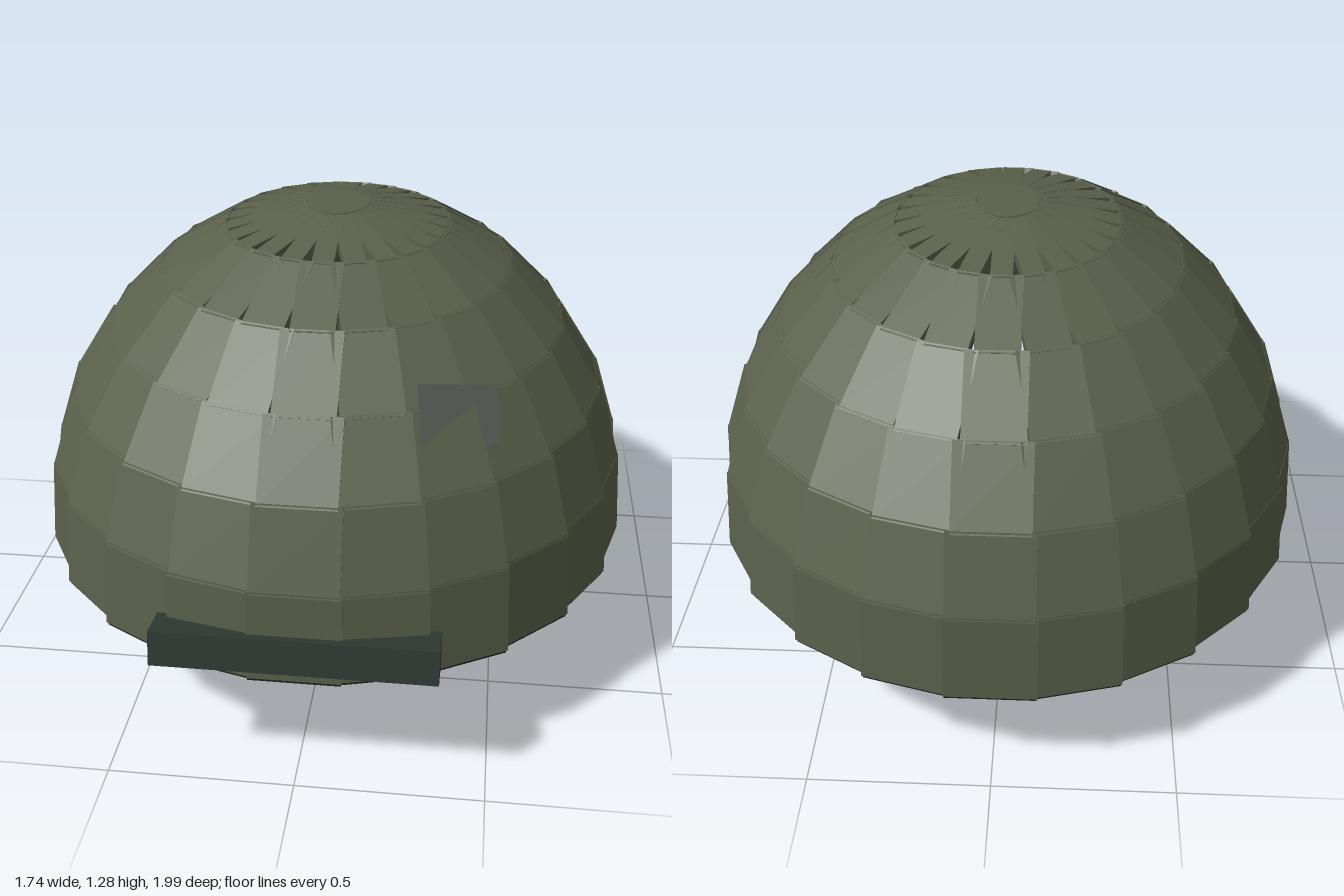
import * as THREE from 'three';

const SEGMENTS = 24;
const HALF_WIDTH = 0.862, HALF_DEPTH = 0.983, CENTRE_Z = -0.01;
const V = (x, y, z) => new THREE.Vector3(x, y, z);
const material = (color) => new THREE.MeshStandardMaterial({ color, flatShading: true });

const shellMat = material(0x59604a);
const rimMat = material(0x1e2420);
const browMat = material(0x2f3a32);
const strapMat = material(0x23292c);
const buckleMat = material(0x6b7573);
const chipMat = material(0x595c55);

function box(name, size, position, mat) {
  const mesh = new THREE.Mesh(new THREE.BoxGeometry(...size), mat);
  mesh.name = name;
  mesh.position.copy(position);
  return mesh;
}

// Turns a mesh so its own axes follow the given directions
function orient(mesh, xAxis, yAxis) {
  const x = xAxis.clone().normalize();
  const z = x.clone().cross(yAxis).normalize();
  const y = z.clone().cross(x);
  mesh.quaternion.setFromRotationMatrix(new THREE.Matrix4().makeBasis(x, y, z));
  return mesh;
}

// A ring of flat plates round the oval; r0, r1 are fractions of the oval's size
function plateRing(name, [r0, y0], [r1, y1], thickness, overlap, mat) {
  const ring = new THREE.Group();
  ring.name = name;
  const r = (r0 + r1) / 2;
  for (let i = 0; i < SEGMENTS; i++) {
    const t = (i / SEGMENTS) * Math.PI * 2;
    const s = Math.sin(t), c = Math.cos(t);
    const reach = Math.hypot(HALF_WIDTH * s, HALF_DEPTH * c);
    const along = V(c, 0, -s);
    const slope = V(s, 0, c).multiplyScalar((r1 - r0) * reach).setY(y1 - y0);
    const normal = along.clone().cross(slope).normalize();
    const width = 2 * Math.tan(Math.PI / SEGMENTS) * r * Math.hypot(HALF_WIDTH * c, HALF_DEPTH * s) * overlap;
    const centre = V(HALF_WIDTH * r * s, (y0 + y1) / 2, HALF_DEPTH * r * c + CENTRE_Z)
      .addScaledVector(normal, -thickness / 2);
    ring.add(orient(box('plate', [width, slope.length() * 1.04, thickness], centre, mat), along, slope));
  }
  return ring;
}

// Square bar between two points
function bar(name, from, to, width, mat) {
  const dir = to.clone().sub(from);
  const mesh = box(name, [width, dir.length(), width * 0.85], from.clone().add(to).multiplyScalar(0.5), mat);
  return orient(mesh, V(0, 1, 0).cross(dir), dir);
}

export function createModel() {
  const model = new THREE.Group();
  model.name = 'helmet';

  // Domed shell of plate rows: [radius fraction, height]
  const profile = [
    [1.0, 0.335], [0.98, 0.575], [0.9, 0.785], [0.765, 0.968],
    [0.585, 1.125], [0.375, 1.235], [0.11, 1.287],
  ];
  const shell = new THREE.Group();
  shell.name = 'shell';
  for (let i = 0; i < profile.length - 1; i++) {
    shell.add(plateRing('shellRow', profile[i], profile[i + 1], 0.03, 1.09, shellMat));
  }
  model.add(shell);

  // Oval crown cap
  const crown = new THREE.Mesh(new THREE.CylinderGeometry(1, 1, 0.03, SEGMENTS), shellMat);
  crown.name = 'crownCap';
  crown.scale.set(0.09, 1, 0.115);
  crown.position.set(0, 1.274, CENTRE_Z);
  model.add(crown);

  // Dark rim round the opening
  model.add(plateRing('rim', [0.995, 0.322], [0.995, 0.385], 0.07, 1.07, rimMat));

  // Brow block
  const brow = box('browBlock', [0.74, 0.095, 0.11], V(0, 0.407, 0.938), browMat);
  brow.rotation.x = -0.15;
  model.add(brow);

  // Half-sunk chip on the front left of the shell
  const a = V(0.28, 1.02, 0.63), b = V(0.48, 0.98, 0.53), c = V(0.48, 0.85, 0.62);
  const chip = box('shellChip', [a.distanceTo(b), b.distanceTo(c), 0.02],
    a.clone().add(c).multiplyScalar(0.5), chipMat);
  model.add(orient(chip, b.clone().sub(a), b.clone().sub(c)));

  // Chin straps and buckles, mirrored
  for (const side of [1, -1]) {
    const low = V(side * 0.29, 0.035, 0.285);
    model.add(bar('frontStrap', low, V(side * 0.64, 0.4, 0.09), 0.06, strapMat));
    model.add(bar('backStrap', low, V(side * 0.64, 0.4, -0.46), 0.06, strapMat));
    model.add(box('buckle', [0.145, 0.12, 0.085], V(side * 0.288, 0.075, 0.302), buckleMat));
  }
  return model;
}
